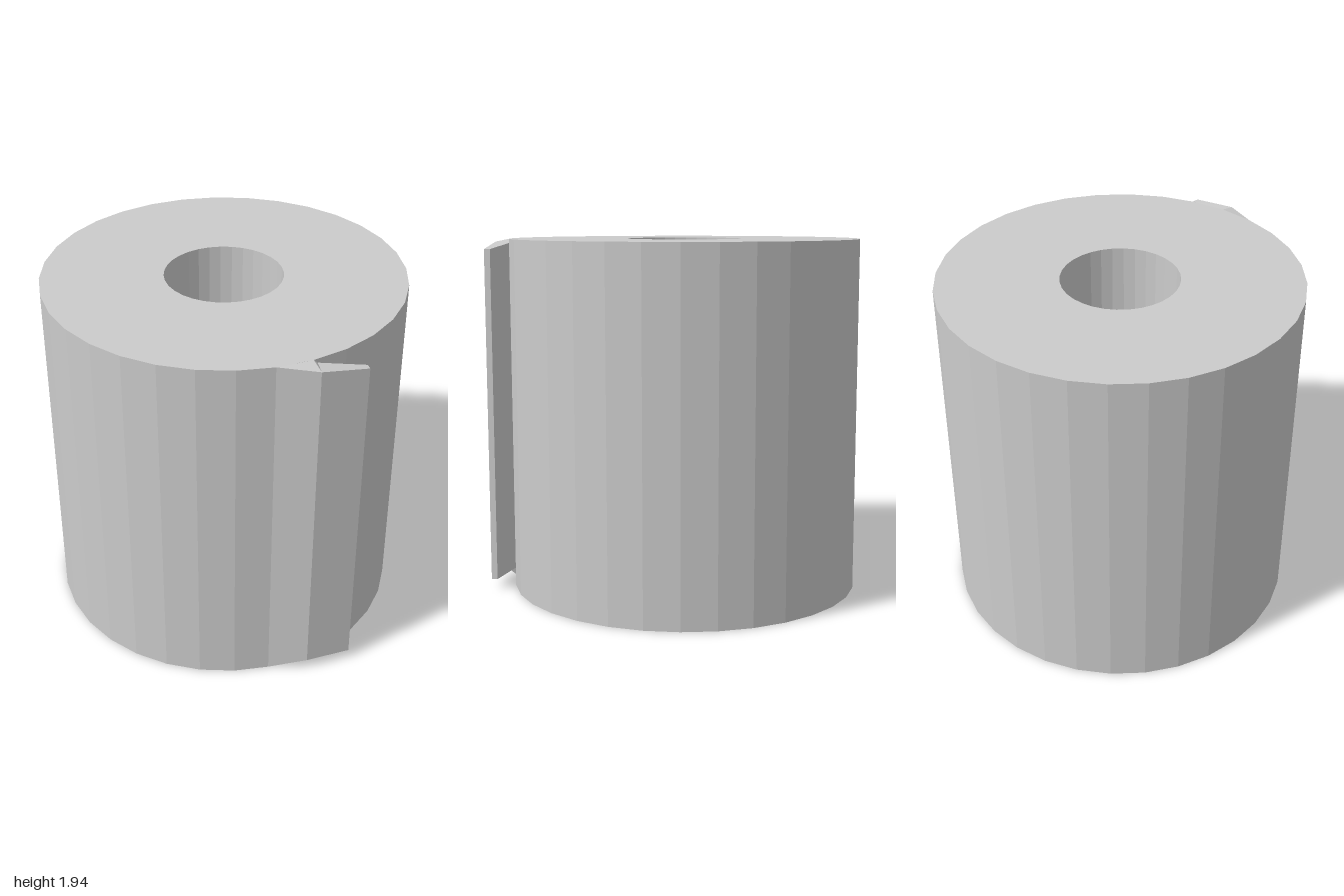
import * as THREE from 'three';

const HEIGHT = 1.94;
const CENTER_Z = -0.034;
const SIDES = 32;

const ring = (r) => Array.from({ length: SIDES }, (_, i) => {
  const a = (i / SIDES) * Math.PI * 2;
  return new THREE.Vector2(r * Math.cos(a), r * Math.sin(a));
});

// Faceted tube with a round core hole
function makeRoll(material) {
  const shape = new THREE.Shape(ring(0.966));
  shape.holes.push(new THREE.Path(ring(0.316)));
  const geo = new THREE.ExtrudeGeometry(shape, { depth: HEIGHT, bevelEnabled: false });
  geo.rotateX(-Math.PI / 2);
  geo.translate(0, 0, CENTER_Z);
  const mesh = new THREE.Mesh(geo, material);
  mesh.name = 'roll';
  return mesh;
}

// Loose end peeling off the front: outline seen from above, [x, z, bottom y, top y]
function makeFlap(material) {
  const outline = [
    [0, 0.932, 0, HEIGHT],
    [0.2, 1.0, 0.066, 1.922],
    [0.45, 0.972, 0.053, 1.887],
    [0.45, 0.938, 0.053, 1.887],
    [0.21, 0.907, 0.06, 1.918],
    [0.188, 0.914, 0, HEIGHT],
  ];
  const low = outline.map(([x, z, y]) => [x, y, z]);
  const high = outline.map(([x, z, , y]) => [x, y, z]);
  const pos = [];
  const tri = (a, b, c) => pos.push(...a, ...b, ...c);

  // Walls (the side lying against the roll stays open)
  for (let i = 0; i < outline.length - 1; i++) {
    tri(low[i], low[i + 1], high[i + 1]);
    tri(low[i], high[i + 1], high[i]);
  }
  // Sloping end caps
  for (const [a, b, c] of [[0, 1, 5], [5, 1, 4], [1, 2, 3], [1, 3, 4]]) {
    tri(high[a], high[b], high[c]);
    tri(low[a], low[c], low[b]);
  }
  const geo = new THREE.BufferGeometry();
  geo.setAttribute('position', new THREE.Float32BufferAttribute(pos, 3));
  geo.computeVertexNormals();
  const mesh = new THREE.Mesh(geo, material);
  mesh.name = 'looseSheetEnd';
  return mesh;
}

export function createModel() {
  const material = new THREE.MeshStandardMaterial({ color: 0xcccccc, flatShading: true });
  const group = new THREE.Group();
  group.name = 'paperRoll';
  group.add(makeRoll(material), makeFlap(material));
  return group;
}
